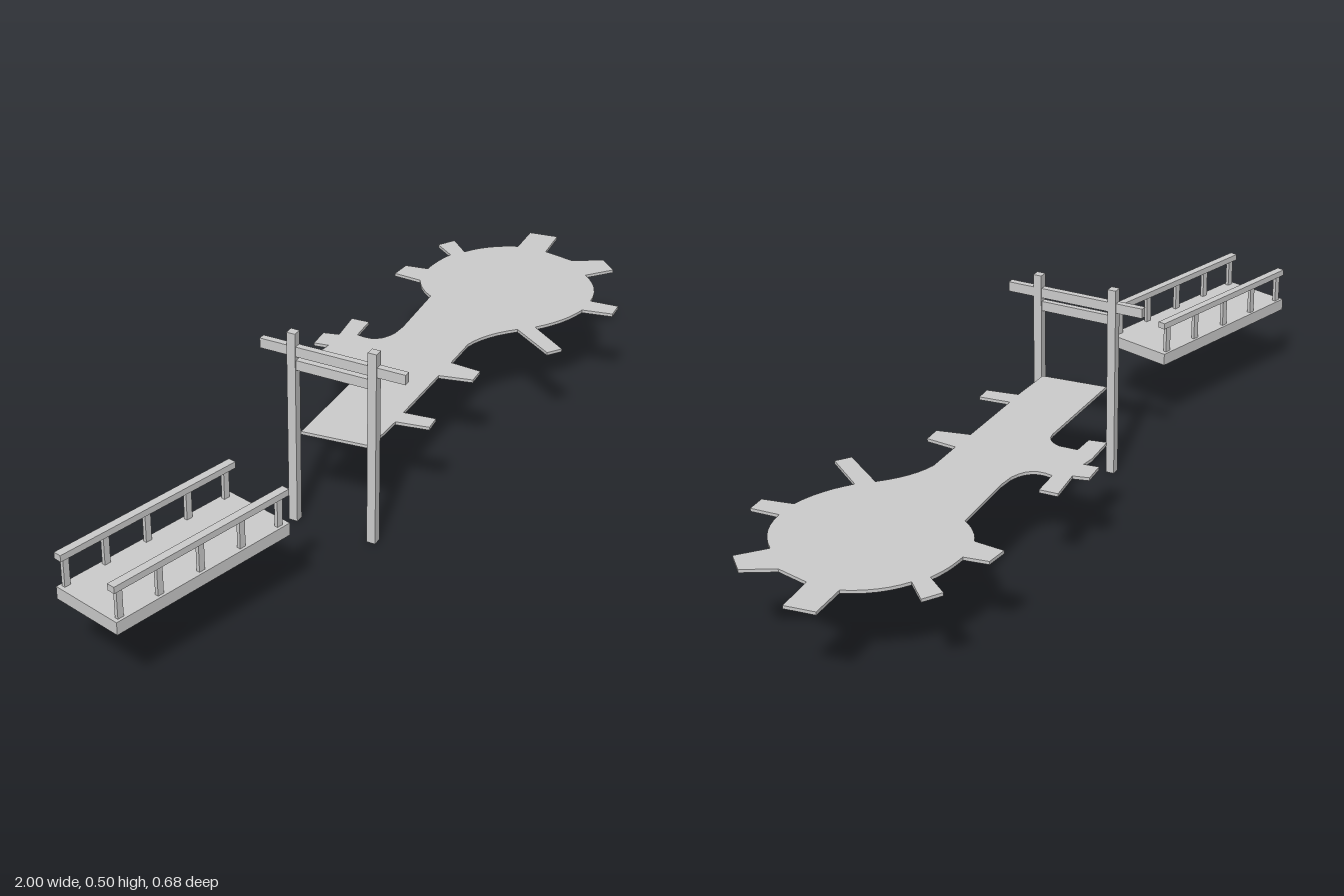
import * as THREE from 'three';

const material = new THREE.MeshStandardMaterial({ color: 0xcccccc, flatShading: true });

function addBox(parent, name, w, h, d, x, y, z) {
  const mesh = new THREE.Mesh(new THREE.BoxGeometry(w, h, d), material);
  mesh.name = name;
  mesh.position.set(x, y, z);
  parent.add(mesh);
}

// Footbridge: deck, two handrails and their posts
function createBridge() {
  const bridge = new THREE.Group();
  bridge.name = 'bridge';
  bridge.position.set(-0.75, 0, 0.2075);
  addBox(bridge, 'bridgeDeck', 0.5, 0.031, 0.187, 0, 0.2045, 0);
  for (const side of [-1, 1]) {
    const z = side * 0.082;
    addBox(bridge, 'handrail', 0.5, 0.016, 0.02, 0, 0.298, z);
    for (const x of [-0.232, -0.122, -0.005, 0.114, 0.227]) {
      addBox(bridge, 'railPost', 0.016, 0.072, 0.009, x, 0.255, z);
    }
  }
  return bridge;
}

// Gateway: two posts under a long top beam and a short lower beam
function createGate() {
  const gate = new THREE.Group();
  gate.name = 'gate';
  gate.position.set(-0.211, 0, 0.159);
  gate.rotation.y = THREE.MathUtils.degToRad(15);
  for (const side of [-1, 1]) {
    addBox(gate, 'gatePost', 0.022, 0.5, 0.022, 0, 0.25, side * 0.103);
  }
  addBox(gate, 'topBeam', 0.017, 0.025, 0.37, 0, 0.4535, 0);
  addBox(gate, 'lowerBeam', 0.015, 0.025, 0.19, 0, 0.4185, 0);
  return gate;
}

// Dock outline in x, z: two numbers draw a line, four a curve
const dockOutline = [
  // back edge of the walkway and its small branch
  [0.05, -0.01], [0.09, -0.02, 0.09, -0.065], [0.075, -0.11],
  [0.02, -0.095], [0, -0.135], [0.085, -0.165], [0.12, -0.17],
  [0.105, -0.205], [0.16, -0.225], [0.18, -0.19],
  [0.265, -0.225], [0.28, -0.18], [0.21, -0.155],
  [0.21, -0.09, 0.28, -0.092], [0.32, -0.1], [0.495, -0.16],
  // round platform with its jetties
  [0.51, -0.21, 0.545, -0.24],
  [0.53, -0.315], [0.585, -0.325], [0.61, -0.27],
  [0.67, -0.285, 0.715, -0.28],
  [0.74, -0.345], [0.79, -0.33], [0.755, -0.265],
  [0.83, -0.245, 0.88, -0.18],
  [0.97, -0.21], [1, -0.14], [0.905, -0.105], [0.91, -0.02],
  [0.97, 0.04], [0.94, 0.095], [0.865, 0.06],
  [0.83, 0.135, 0.755, 0.16],
  [0.78, 0.23], [0.735, 0.245], [0.7, 0.175],
  [0.62, 0.18, 0.545, 0.145],
  [0.5, 0.265], [0.46, 0.25], [0.505, 0.12],
  // front edge of the walkway
  [0.43, 0.075, 0.36, 0.08], [0.26, 0.11],
  [0.275, 0.19], [0.23, 0.205], [0.19, 0.13], [0, 0.185],
  [0.03, 0.26], [-0.01, 0.275], [-0.045, 0.2], [-0.165, 0.23],
];

function createDock() {
  const shape = new THREE.Shape();
  shape.moveTo(-0.226, 0.07 * -1);
  for (const [a, b, c, d] of dockOutline) {
    if (c === undefined) shape.lineTo(a, -b);
    else shape.quadraticCurveTo(a, -b, c, -d);
  }
  shape.closePath();
  const geometry = new THREE.ExtrudeGeometry(shape, { depth: 0.008, bevelEnabled: false, curveSegments: 6 });
  geometry.rotateX(-Math.PI / 2);
  const dock = new THREE.Mesh(geometry, material);
  dock.name = 'dock';
  dock.position.y = 0.229;
  return dock;
}

export function createModel() {
  const model = new THREE.Group();
  model.name = 'dockWithGateAndBridge';
  model.add(createBridge(), createGate(), createDock());
  return model;
}
